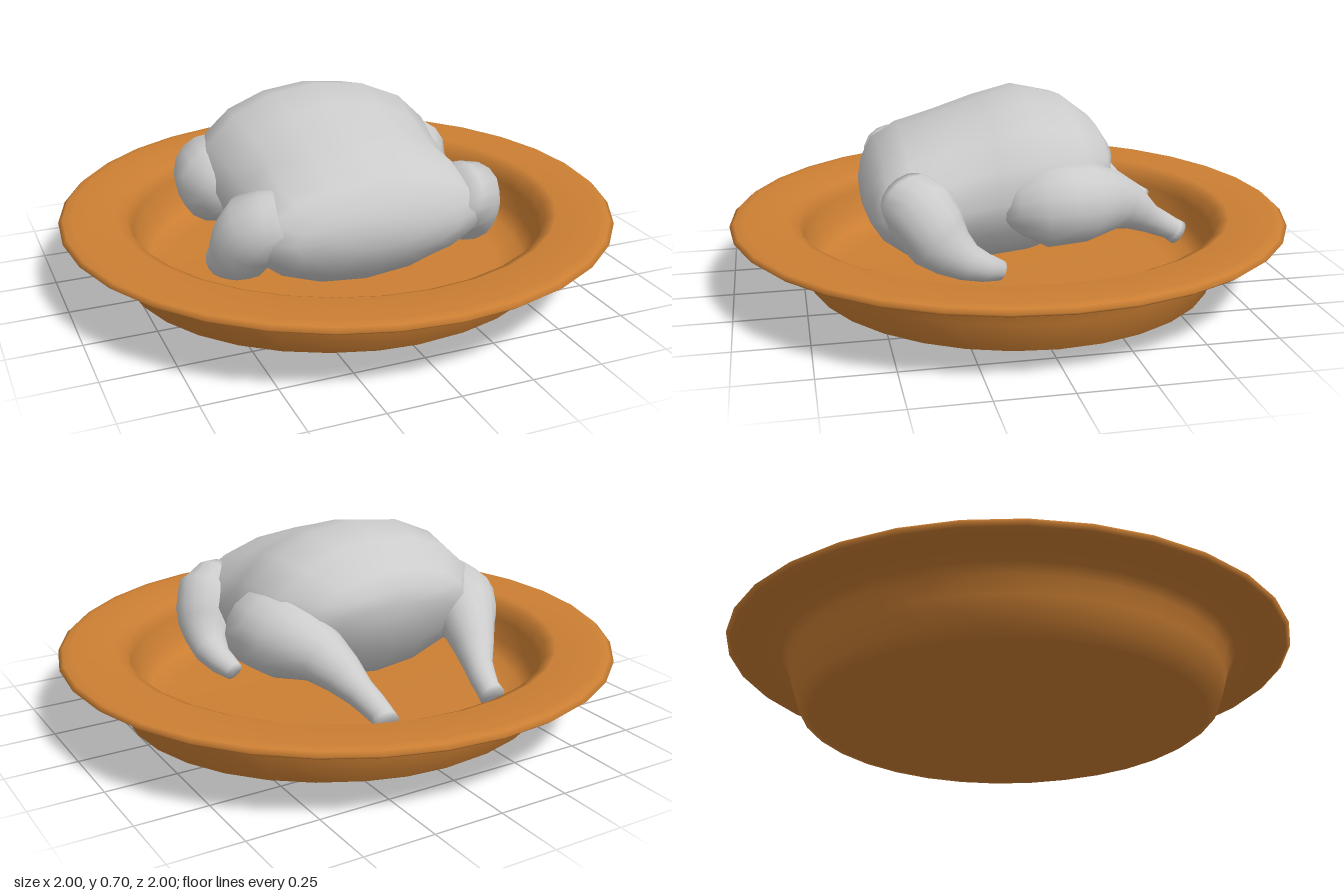
import * as THREE from 'three';

const SIDES = 16;

// Skins a list of rings (each SIDES points, counter-clockwise about the path) and closes both ends
function loft(rings) {
  const pos = [], index = [], n = rings.length;
  rings.forEach(ring => ring.forEach(p => pos.push(p.x, p.y, p.z)));
  const centre = ring => ring.reduce((s, p) => s.add(p), new THREE.Vector3()).divideScalar(SIDES);
  for (const ring of [rings[0], rings[n - 1]]) pos.push(...centre(ring).toArray());
  for (let j = 0; j < SIDES; j++) {
    const k = (j + 1) % SIDES, end = (n - 1) * SIDES;
    for (let i = 0; i < n - 1; i++) {
      const a = i * SIDES + j, b = i * SIDES + k;
      index.push(a, b, a + SIDES, b, b + SIDES, a + SIDES);
    }
    index.push(k, j, n * SIDES, end + j, end + k, n * SIDES + 1);
  }
  const g = new THREE.BufferGeometry();
  g.setAttribute('position', new THREE.Float32BufferAttribute(pos, 3));
  g.setIndex(index);
  g.computeVertexNormals();
  return g;
}

// Tapered limb along stations [x, y, z, radius]; side is 1 or -1
function limb(stations, side) {
  const curve = new THREE.CatmullRomCurve3(stations.map(s => new THREE.Vector3(s[0] * side, s[1], s[2])));
  const steps = (stations.length - 1) * 2;
  const rings = [];
  for (let i = 0; i <= steps; i++) {
    const t = i / steps, f = t * (stations.length - 1), k = Math.min(Math.floor(f), stations.length - 2);
    const r = THREE.MathUtils.lerp(stations[k][3], stations[k + 1][3], f - k);
    const c = curve.getPoint(t), T = curve.getTangent(t);
    const N = new THREE.Vector3(1, 0, 0).addScaledVector(T, -T.x).normalize();
    const B = T.clone().cross(N);
    rings.push(Array.from({ length: SIDES }, (_, j) => {
      const a = j / SIDES * Math.PI * 2;
      return c.clone().addScaledVector(N, Math.cos(a) * r).addScaledVector(B, Math.sin(a) * r);
    }));
  }
  return loft(rings);
}

export function createModel() {
  const model = new THREE.Group();
  const clay = new THREE.MeshStandardMaterial({ color: 0xcc7f33 });
  const meat = new THREE.MeshStandardMaterial({ color: 0xcccccc });
  const add = (parent, name, geometry, material) => {
    const mesh = new THREE.Mesh(geometry, material);
    mesh.name = name;
    parent.add(mesh);
  };

  // Round dish: underside, outer wall, broad rim, inner wall and floor
  const profile = [
    [0, 0], [0.55, 0.012], [0.7, 0.022], [0.735, 0.045], [0.765, 0.13], [0.785, 0.195], [0.81, 0.228],
    [0.95, 0.238], [0.985, 0.243], [1, 0.255], [0.985, 0.268], [0.95, 0.273], [0.8, 0.268],
    [0.762, 0.25], [0.745, 0.2], [0.73, 0.12], [0.69, 0.07], [0.6, 0.05], [0, 0.045],
  ].map(p => new THREE.Vector2(...p));
  const dish = new THREE.LatheGeometry(profile, 32);
  const dp = dish.attributes.position;
  // The outer wall stands upright at the sides and slopes at front and back
  for (let i = 0; i < dp.count; i++) {
    const p = profile[i % profile.length];
    if (p.x > 0.732 && p.y > 0.03 && p.y < 0.196 && i % profile.length < 7) dp.setX(i, dp.getX(i) * 0.785 / p.x);
  }
  add(model, 'dish', dish, clay);

  const bird = new THREE.Group();
  bird.name = 'roastBird';
  bird.position.x = -0.05;
  model.add(bird);

  // Body cross-sections: z, half width, top, bottom
  const body = [
    [-0.345, 0.2, 0.53, 0.42], [-0.31, 0.3, 0.585, 0.3], [-0.2, 0.41, 0.67, 0.18], [-0.05, 0.45, 0.705, 0.12],
    [0.1, 0.42, 0.67, 0.1], [0.25, 0.41, 0.62, 0.1], [0.39, 0.43, 0.575, 0.13], [0.47, 0.4, 0.52, 0.19],
    [0.51, 0.3, 0.45, 0.25], [0.53, 0.15, 0.4, 0.3],
  ].map(([z, w, top, bottom]) => Array.from({ length: SIDES }, (_, j) => {
    const a = j / SIDES * Math.PI * 2;
    return new THREE.Vector3(Math.cos(a) * w, (top + bottom) / 2 + Math.sin(a) * (top - bottom) / 2, z);
  }));
  add(bird, 'body', loft(body), meat);

  // Drumsticks reaching back and down, wings folded against the sides
  const leg = [
    [0.34, 0.36, 0.07, 0.07], [0.375, 0.37, -0.06, 0.145], [0.36, 0.37, -0.2, 0.14],
    [0.3, 0.34, -0.34, 0.095], [0.24, 0.25, -0.48, 0.052], [0.215, 0.2, -0.57, 0.042], [0.215, 0.18, -0.6, 0.045],
  ];
  const wing = [
    [0.3, 0.4, 0.4, 0.1], [0.385, 0.37, 0.365, 0.125], [0.42, 0.28, 0.31, 0.11],
    [0.45, 0.21, 0.22, 0.065], [0.42, 0.16, 0.1, 0.035],
  ];
  for (const [side, label] of [[1, 'left'], [-1, 'right']]) {
    add(bird, label + 'Leg', limb(leg, side), meat);
    add(bird, label + 'Wing', limb(wing, side), meat);
  }
  return model;
}
